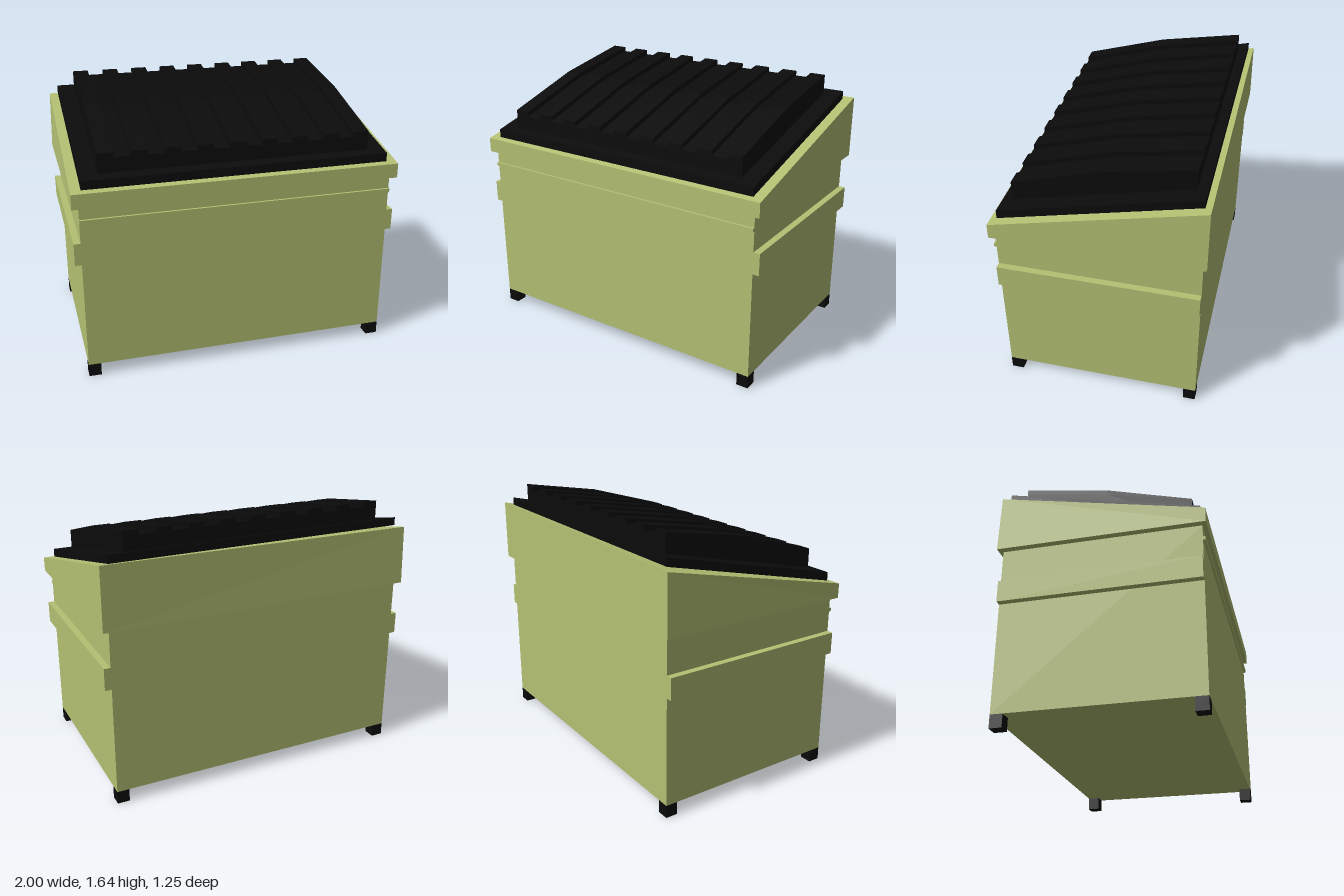
import * as THREE from 'three';

const green = new THREE.MeshStandardMaterial({ color: 0xb4c073, flatShading: true });
const black = new THREE.MeshStandardMaterial({ color: 0x0b0b0b, flatShading: true });

// Height of the sloping rim at depth z
const rimY = (z) => 1.348 - 0.236 * z;

export function createModel() {
  const model = new THREE.Group();

  const add = (name, geometry, material) => {
    const mesh = new THREE.Mesh(geometry, material);
    mesh.name = name;
    model.add(mesh);
    return mesh;
  };

  // Box given by its lower and upper corners
  const block = (name, [x0, y0, z0], [x1, y1, z1], material) => {
    const g = new THREE.BoxGeometry(x1 - x0, y1 - y0, z1 - z0);
    g.translate((x0 + x1) / 2, (y0 + y1) / 2, (z0 + z1) / 2);
    return add(name, g, material);
  };

  // Side profile of [z, y] points, extruded across x about a centre
  const slab = (name, profile, width, material, x = 0) => {
    const shape = new THREE.Shape(profile.map(([z, y]) => new THREE.Vector2(z, y)));
    const g = new THREE.ExtrudeGeometry(shape, { depth: width, bevelEnabled: false });
    g.rotateY(-Math.PI / 2).translate(x + width / 2, 0, 0);
    return add(name, g, material);
  };

  // Container body and front trim
  block('body', [-0.96, 0.08, -0.6], [0.96, 1.11, 0.6], green);
  block('frontTrim', [-0.96, 1.015, 0.6], [0.96, 1.037, 0.615], green);

  // Lifting rails and feet
  for (const s of [-1, 1]) {
    const side = s > 0 ? 'left' : 'right';
    block(side + 'Rail', [s * 0.98 - 0.02, 0.755, -0.6], [s * 0.98 + 0.02, 0.89, 0.6], green);
    for (const f of [-1, 1]) {
      const x = s * 0.9225, z = f * 0.5625;
      block(side + (f > 0 ? 'Front' : 'Rear') + 'Foot',
        [x - 0.0375, 0, z - 0.0375], [x + 0.0375, 0.08, z + 0.0375], black);
    }
  }

  // Sloping collar, with one slightly dented rear corner
  const collar = slab('collar',
    [[0.625, 1.11], [0.625, rimY(0.625)], [-0.625, rimY(-0.625)], [-0.625, 1.11]], 2, green);
  const p = collar.geometry.attributes.position;
  for (let i = 0; i < p.count; i++) {
    if (p.getX(i) < -0.9 && p.getY(i) > 1.4) p.setXYZ(i, -0.99, 1.477, -0.62);
  }
  collar.geometry.computeVertexNormals();

  // Lid: flat border, raised bowed panel and ribs
  const e = 0.587;
  slab('lidBorder',
    [[e, rimY(e)], [e, rimY(e) + 0.053], [-e, rimY(-e) + 0.05], [-e, rimY(-e)]], 1.876, black);

  const ribTop = [[0.525, 1.395], [0, 1.548], [-0.525, 1.64]];
  const panelTop = ribTop.map(([z, y]) => [z, y - 0.03]);
  slab('lidPanel', [[0.525, rimY(0.525)], ...panelTop, [-0.525, rimY(-0.525)]], 1.665, black);
  for (let i = -4; i <= 4; i++) {
    slab('lidRib', [...ribTop, ...[...panelTop].reverse()], 0.097, black, i * 0.196);
  }

  return model;
}
